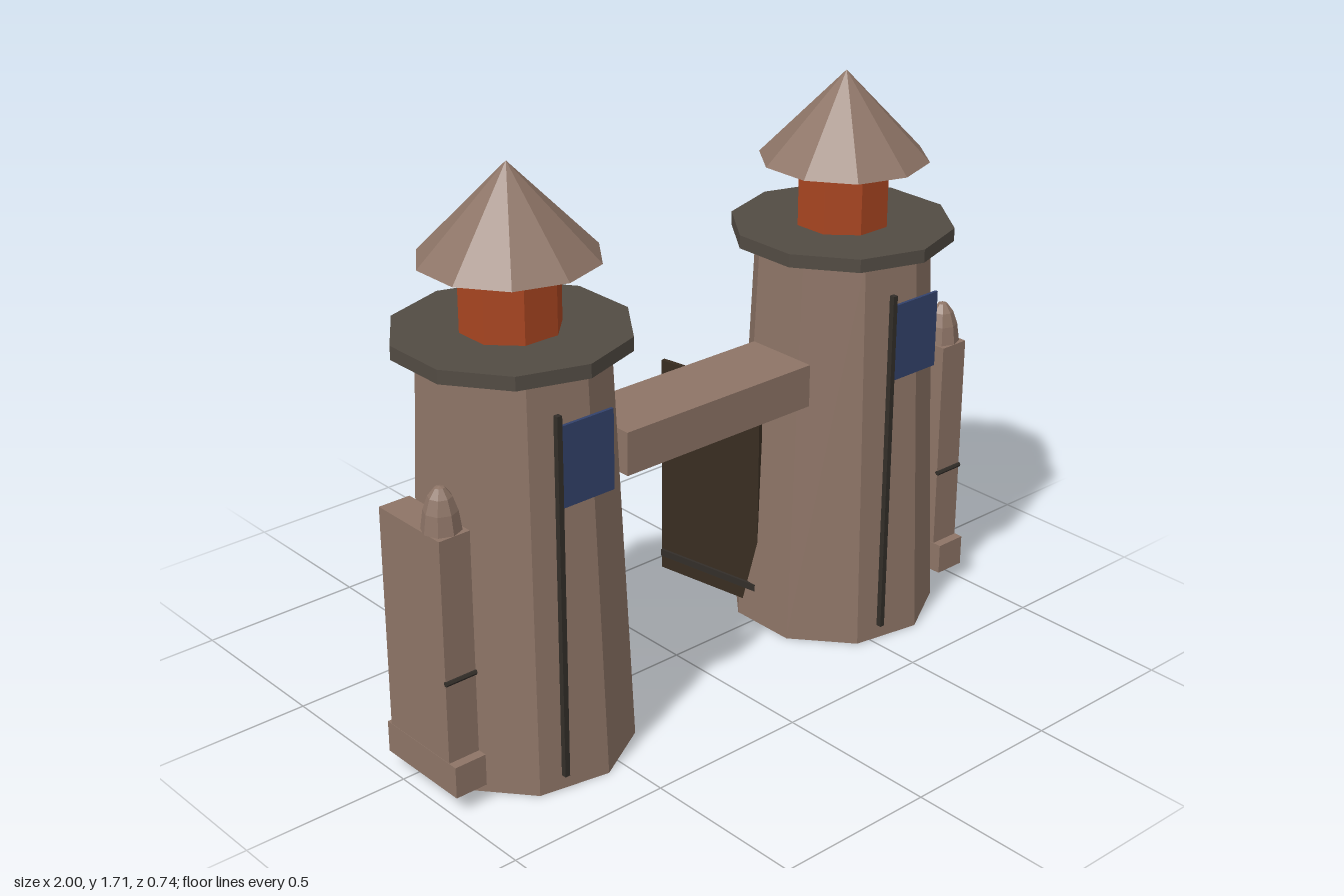
import * as THREE from 'three';

const mat = (name, color) => {
  const m = new THREE.MeshStandardMaterial({ color, flatShading: true });
  m.name = name;
  return m;
};

export function createModel() {
  const stone = mat('brown stone', 0x8d7466);
  const slate = mat('grey slate', 0x524b43);
  const glow = mat('lantern orange', 0xa84520);
  const cloth = mat('blue cloth', 0x33426b);
  const wood = mat('dark wood', 0x382d21);
  const iron = mat('dark iron', 0x332e29);

  const model = new THREE.Group();
  model.name = 'gateTowers';

  const add = (parent, name, geometry, material, x, y, z) => {
    const mesh = new THREE.Mesh(geometry, material);
    mesh.name = name;
    mesh.position.set(x, y, z);
    parent.add(mesh);
    return mesh;
  };
  const box = (w, h, d) => new THREE.BoxGeometry(w, h, d);
  const prism = (rTop, rBottom, h, sides, start = 0) =>
    new THREE.CylinderGeometry(rTop, rBottom, h, sides, 1, false, start);

  for (const side of [-1, 1]) {
    const label = side > 0 ? 'left' : 'right';

    // Tower: tapered nine-sided shaft, deck, lantern and cone roof
    const tower = new THREE.Group();
    tower.name = label + 'Tower';
    tower.position.set(0.612 * side, 0, 0.04);
    model.add(tower);
    add(tower, 'shaft', prism(0.262, 0.315, 1.213, 9, Math.PI / 2), stone, 0, 0.6065, 0);
    add(tower, 'deck', prism(0.33, 0.33, 0.04, 10), slate, 0, 1.232, 0);
    add(tower, 'lantern', prism(0.14, 0.14, 0.195, 8, Math.PI / 8), glow, 0, 1.349, 0);
    add(tower, 'roof', new THREE.ConeGeometry(0.25, 0.26, 10), stone, 0, 1.576, 0);

    // Banner hung from a pole on the front
    add(tower, 'bannerPole', box(0.016, 1.075, 0.016), iron, -0.09, 0.589, 0.302);
    add(tower, 'banner', box(0.176, 0.233, 0.009), cloth, 0.002, 0.978, 0.302);

    // Outer buttress with plinth, iron band and small finial
    const buttress = new THREE.Group();
    buttress.name = label + 'Buttress';
    buttress.position.set(0.943 * side, 0, 0);
    model.add(buttress);
    add(buttress, 'pier', box(0.098, 0.76, 0.265), stone, 0, 0.435, 0.078);
    add(buttress, 'plinth', box(0.1, 0.095, 0.31), stone, 0, 0.1025, 0.084);
    const band = add(buttress, 'band', new THREE.CylinderGeometry(0.008, 0.008, 0.099, 6), iron, 0, 0.395, 0.211);
    band.rotation.z = Math.PI / 2;
    const finial = [[0.055, 0], [0.047, 0.055], [0.033, 0.095], [0.014, 0.12], [0, 0.124]]
      .map(([r, y]) => new THREE.Vector2(r, y));
    add(buttress, 'finial', new THREE.LatheGeometry(finial, 8), stone, 0, 0.815, 0.155);

    // Open gate leaf with two rails on its inner face
    const gate = new THREE.Group();
    gate.name = label + 'Gate';
    gate.position.set(0.303 * side, 0.413, -0.185);
    gate.rotation.y = side * 0.165;
    model.add(gate);
    add(gate, 'leaf', box(0.014, 0.715, 0.376), wood, 0, 0, 0);
    for (const y of [-0.302, 0.302]) {
      add(gate, 'rail', box(0.012, 0.022, 0.37), iron, -0.009 * side, y, 0);
    }
  }

  // Lintel spanning the towers
  add(model, 'lintel', box(0.69, 0.13, 0.235), stone, 0, 0.848, 0.0725);

  return model;
}
